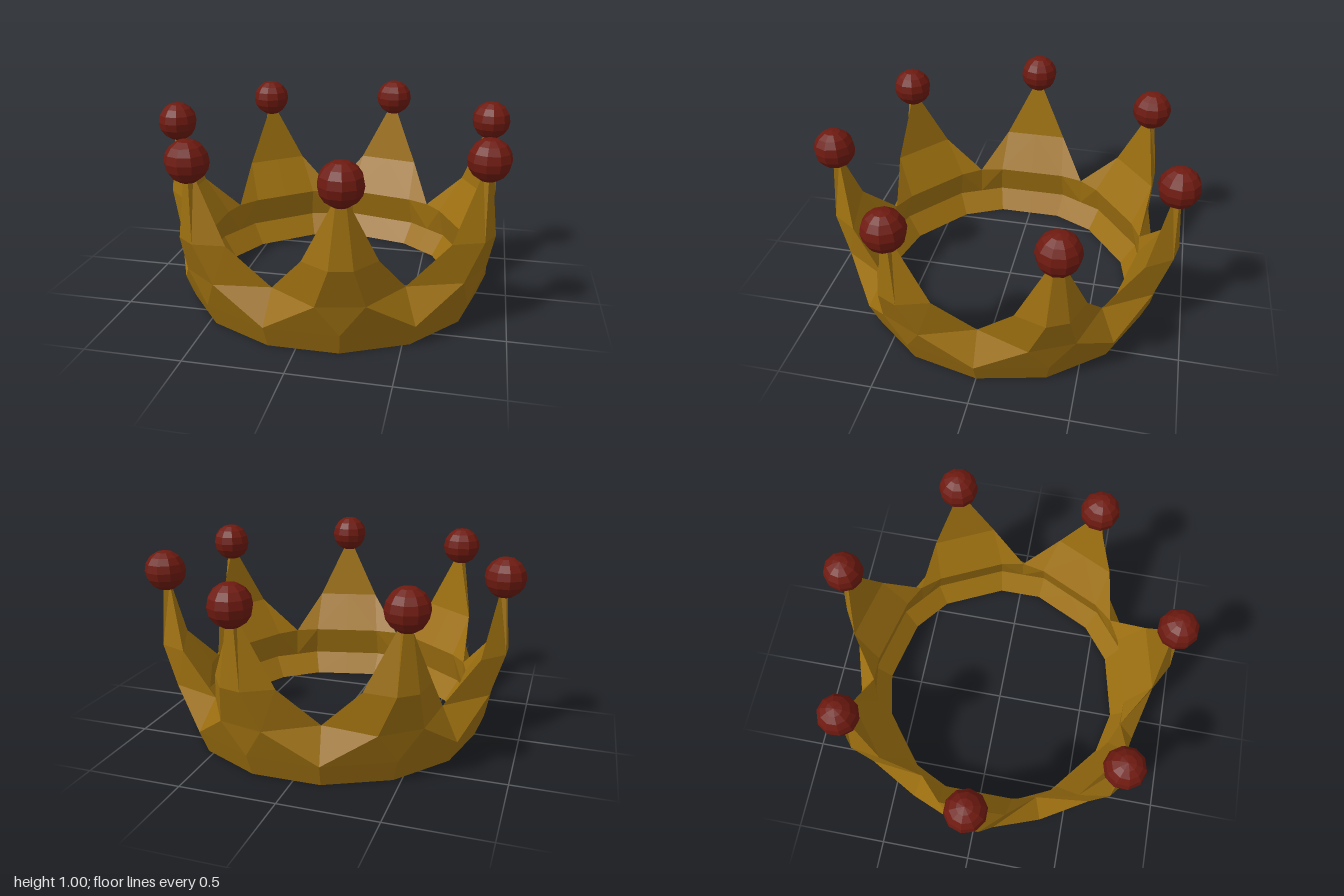
import * as THREE from 'three';

const POINTS = 7;
const HALF = Math.PI / POINTS; // half of one sector, from spike to valley

export function createModel() {
  const root = new THREE.Group();
  root.name = 'crown';
  const gold = new THREE.MeshStandardMaterial({ color: 0x9c6f10, flatShading: true });
  const red = new THREE.MeshStandardMaterial({ color: 0x6e1a10, flatShading: true });

  // Half-sector corners: [u from spike (0) to valley (1), radius, height]
  const p = {
    B0: [0, 0.8, 0], Bv: [1, 0.8, 0],            // outer foot
    M0: [0, 0.845, 0.12], Mv: [1, 0.845, 0.12],  // outer belly
    O3: [0.3, 0.885, 0.29], O5: [0.135, 0.945, 0.5], OT: [0.05, 0.92, 0.83], // outer spike edge
    IV: [1, 0.745, 0.29], I5: [0.47, 0.85, 0.5], IT: [0.05, 0.89, 0.83],     // inner spike edge
    I3: [0.6, 0.73, 0.29], I1: [0.6, 0.77, 0.12], Ib: [0.6, 0.69, 0],        // inner wall
  };
  // Chord midpoints on the spike plane (c) and the valley plane (v)
  for (const k of ['O3', 'O5', 'OT', 'IT', 'I5', 'I3', 'I1', 'Ib'])
    p[k + 'c'] = [0, p[k][1] * Math.cos(p[k][0] * HALF), p[k][2]];
  for (const k of ['I1', 'Ib'])
    p[k + 'v'] = [1, p[k][1] * Math.cos((1 - p[k][0]) * HALF), p[k][2]];

  const faces = [
    // outer wall and spike front
    'B0 Bv Mv M0', 'M0 Mv O3', 'M0 O3 O3c', 'O3c O3 O5 O5c', 'O5c O5 OT OTc',
    // sloped spike flank and tip
    'O3 Mv IV', 'O3 IV I5 O5', 'O5 I5 IT OT', 'OTc OT IT ITc',
    // inner wall
    'ITc IT I5 I5c', 'I5c I5 I3 I3c', 'I5 IV I3', 'I3c I3 I1 I1c', 'I3 IV I1v I1',
    'I1c I1 Ib Ibc', 'I1 I1v Ibv Ib',
    // underside
    'B0 Ibc Ib Ibv Bv',
  ].map((f) => f.split(' '));

  const verts = [];
  for (let i = 0; i < POINTS; i++) {
    const spike = Math.PI + i * 2 * HALF;
    for (const side of [-1, 1]) {
      const at = (k) => {
        const [u, r, y] = p[k];
        const a = spike + side * u * HALF;
        return [r * Math.cos(a), y, r * Math.sin(a)];
      };
      for (const f of faces)
        for (let j = 1; j < f.length - 1; j++) {
          const tri = [f[0], f[j], f[j + 1]];
          if (side > 0) tri.reverse();
          for (const k of tri) verts.push(...at(k));
        }
    }
  }
  const geo = new THREE.BufferGeometry();
  geo.setAttribute('position', new THREE.Float32BufferAttribute(verts, 3));
  geo.computeVertexNormals();
  const band = new THREE.Mesh(geo, gold);
  band.name = 'crownBand';
  root.add(band);

  // Balls on the spike tips
  const ballGeo = new THREE.SphereGeometry(0.107, 10, 8);
  for (let i = 0; i < POINTS; i++) {
    const a = Math.PI + i * 2 * HALF;
    const ball = new THREE.Mesh(ballGeo, red);
    ball.name = 'tipBall' + (i + 1);
    ball.position.set(0.908 * Math.cos(a), 0.895, 0.908 * Math.sin(a));
    ball.rotation.y = -a;
    root.add(ball);
  }

  // Seven points are uneven in x, so shift to centre the bounds
  for (const part of root.children) part.position.x += 0.037;
  return root;
}
